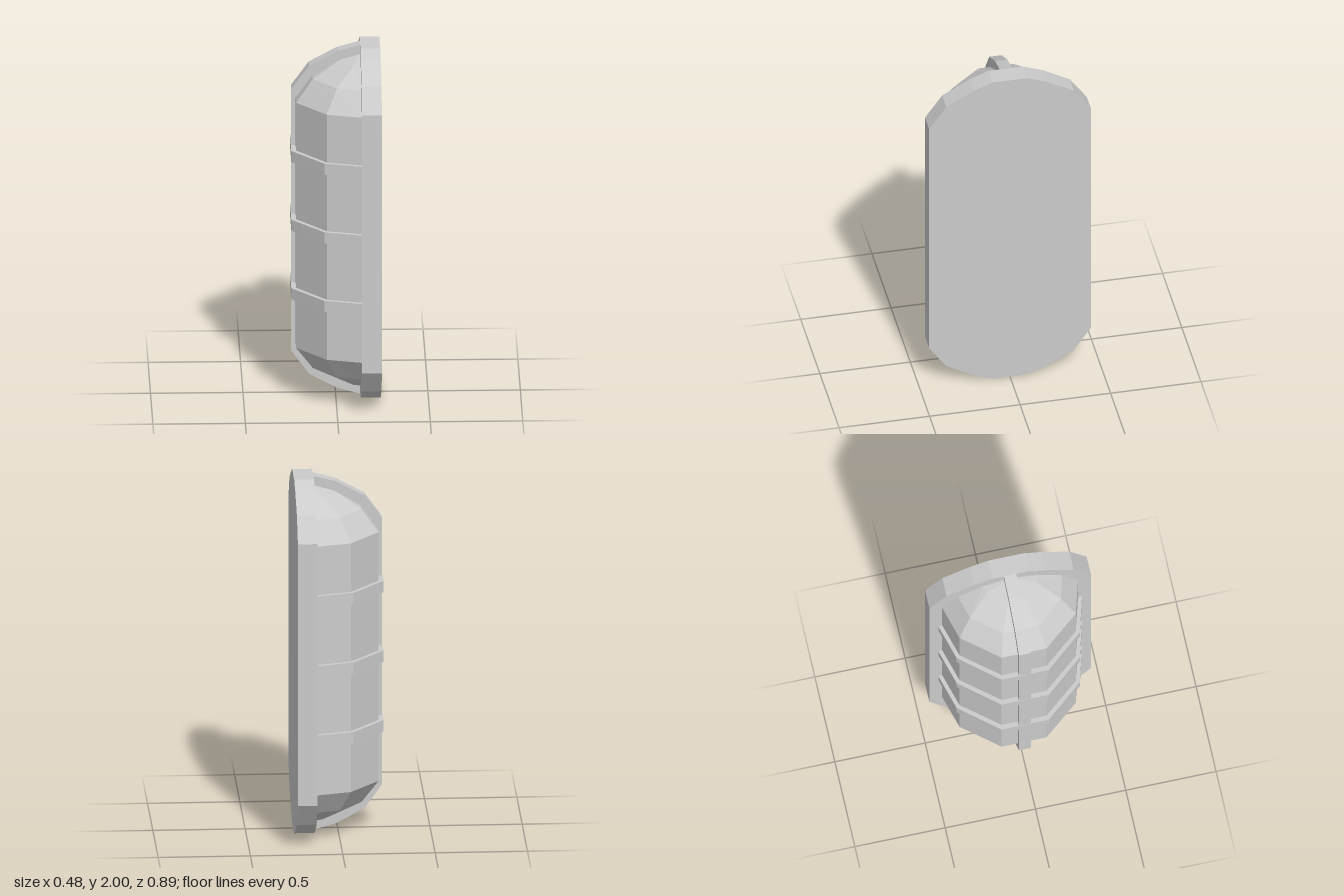
import * as THREE from 'three';

const grey = new THREE.MeshStandardMaterial({ color: 0xcccccc, flatShading: true });
const BACK = 0.133; // x where the lamp meets its wall plate

function slab(points, depth) {
  const shape = new THREE.Shape(points.map(([a, b]) => new THREE.Vector2(a, b)));
  return new THREE.ExtrudeGeometry(shape, { depth, bevelEnabled: false });
}

function add(group, name, geometry) {
  const mesh = new THREE.Mesh(geometry, grey);
  mesh.name = name;
  group.add(mesh);
  return mesh;
}

// Faceted half-capsule: half rings of [x, z], mirrored in z and in height
function coverGeometry() {
  const upper = [
    { y: 1.703, p: [[BACK, 0.376], [-0.055, 0.322], [-0.216, 0.124]] },
    { y: 1.828, p: [[BACK, 0.288], [0.002, 0.252], [-0.125, 0.098]] },
    { y: 1.912, p: [[BACK, 0.154], [0.092, 0.138], [0.015, 0.038]] },
    { y: 1.955, p: [[BACK, 0], [BACK, 0], [BACK, 0]] },
  ];
  const lower = upper.map(({ y, p }) => ({ y: 2 - y, p })).reverse();
  const rings = [...lower, ...upper];
  const positions = [];
  for (const { y, p } of rings) {
    for (const [x, z] of p) positions.push(x, y, z);
    for (const [x, z] of [...p].reverse()) positions.push(x, y, -z);
  }
  const index = [];
  for (let r = 0; r < rings.length - 1; r++) {
    for (let i = 0; i < 5; i++) {
      const a = r * 6 + i, b = a + 1, c = a + 6, d = b + 6;
      if (r < rings.length - 2) index.push(a, c, d);
      if (r > 0) index.push(a, d, b);
      else index.push(a, c, d);
    }
  }
  // At the top tip only the lower triangle of each quad has area
  const g = new THREE.BufferGeometry();
  g.setAttribute('position', new THREE.Float32BufferAttribute(positions, 3));
  g.setIndex(index);
  const flat = g.toNonIndexed();
  flat.computeVertexNormals();
  return flat;
}

export function createModel() {
  const group = new THREE.Group();
  group.name = 'wallLamp';

  // Wall plate: chamfered long outline, extruded along x
  const corner = [[0.447, 1.74], [0.352, 1.875], [0.2, 1.96], [0.097, 2]];
  const flip = (list, sx, top) => list.map(([z, y]) => [sx * z, top ? y : 2 - y]);
  const outline = [
    ...flip(corner, 1, true),
    ...flip(corner, -1, true).reverse(),
    ...flip(corner, -1, false),
    ...flip(corner, 1, false).reverse(),
  ];
  const plate = slab(outline, 0.24 - BACK);
  plate.rotateY(Math.PI / 2);
  plate.translate(BACK, 0, 0);
  add(group, 'wallPlate', plate);

  add(group, 'lampCover', coverGeometry());

  // Long guard bar running over the cover from end to end
  const arc = [[BACK, 2], [0.01, 1.967], [-0.143, 1.884], [-0.24, 1.75]];
  const bar = slab([...arc, ...arc.map(([x, y]) => [x, 2 - y]).reverse()], 0.068);
  bar.translate(0, 0, -0.034);
  add(group, 'longGuardBar', bar);

  // Three cross bars wrapped around the cover
  const half = [[BACK, 0.398], [-0.068, 0.341], [-0.242, 0.131]];
  const wrap = [...half, ...half.map(([x, z]) => [x, -z]).reverse()];
  for (const y of [0.61, 1.003, 1.397]) {
    const cross = slab(wrap, 0.064);
    cross.rotateX(-Math.PI / 2);
    cross.translate(0, y - 0.032, 0);
    add(group, 'crossGuardBar', cross);
  }
  return group;
}
